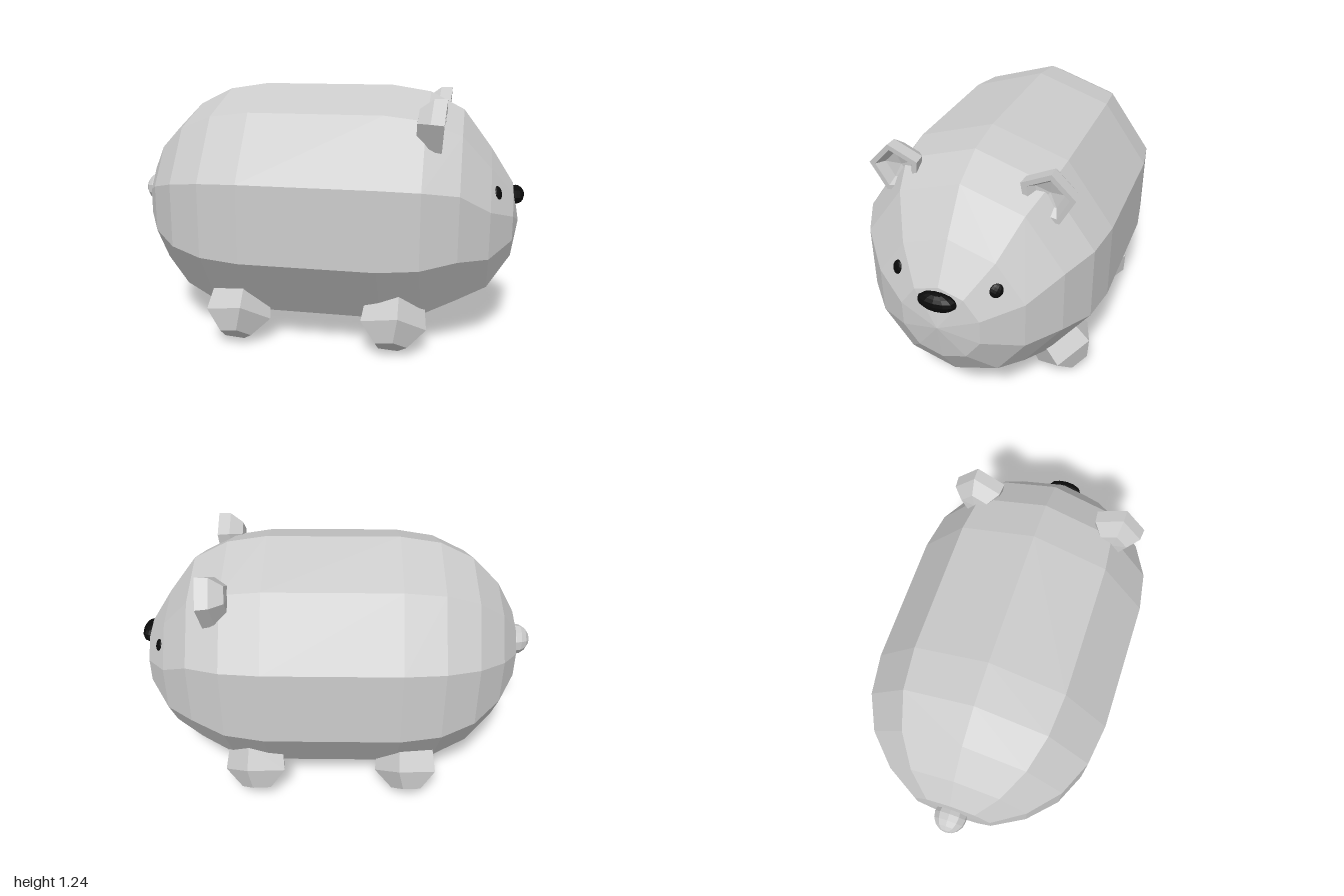
import * as THREE from 'three';

const grey = new THREE.MeshStandardMaterial({ color: 0xcccccc, flatShading: true });
const black = new THREE.MeshStandardMaterial({ color: 0x0a0a0a, flatShading: true });

// Faceted solid of revolution around y from [radius, height] pairs
function turned(profile, sides, phase = 0) {
  const points = profile.map(([r, h]) => new THREE.Vector2(r, h));
  return new THREE.LatheGeometry(points, sides, phase, Math.PI * 2);
}

export function createModel() {
  const model = new THREE.Group();
  const add = (name, geometry, material, x, y, z) => {
    const mesh = new THREE.Mesh(geometry, material);
    mesh.name = name;
    mesh.position.set(x, y, z);
    model.add(mesh);
    return mesh;
  };

  // Barrel body lying along x, with the snout rings lowered slightly
  const body = turned([
    [0, -0.905], [0.2, -0.895], [0.36, -0.805], [0.495, -0.67], [0.575, -0.505], [0.605, -0.31],
    [0.605, 0.335], [0.575, 0.525], [0.49, 0.69], [0.36, 0.83], [0.19, 0.94], [0, 0.975],
  ], 10, Math.PI / 2).rotateZ(-Math.PI / 2);
  const position = body.attributes.position;
  for (let i = 0; i < position.count; i++) {
    if (position.getX(i) > 0.75) position.setY(i, position.getY(i) - 0.055);
  }
  add('body', body, grey, 0, 0.64, 0);

  // Tail and nose
  add('tail', new THREE.SphereGeometry(0.08, 10, 8).rotateZ(Math.PI / 2), grey, -0.92, 0.675, 0);
  add('nose', new THREE.SphereGeometry(1, 12, 8).scale(0.042, 0.044, 0.09), black, 0.956, 0.715, 0);

  for (const side of [1, -1]) {
    const label = side > 0 ? 'left' : 'right';

    // Eye: flattened ball lying on the face
    const eye = add(label + 'Eye', new THREE.SphereGeometry(1, 12, 8).scale(0.03, 0.033, 0.013),
      black, 0.862, 0.767, side * 0.228);
    eye.quaternion.setFromUnitVectors(new THREE.Vector3(0, 0, 1),
      new THREE.Vector3(0.84, 0.33, side * 0.43).normalize());

    // Ear: five-sided cup opening forwards
    const angle = THREE.MathUtils.degToRad(side > 0 ? -8 : -172);
    const ear = turned([
      [0, -0.065], [0.07, -0.06], [0.122, 0], [0.128, 0.06], [0.1, 0.06], [0.07, 0.02], [0, 0.005],
    ], 5, angle).rotateZ(-Math.PI / 2);
    add(label + 'Ear', ear, grey, 0.55, 1.09, side * 0.35).rotation.z = -0.08;

    // Feet: five-sided stubs pointing down and outwards
    for (const [end, x, turn] of [['Back', -0.37, 0], ['Front', 0.395, 0.08]]) {
      const foot = turned([
        [0, -0.1], [0.15, -0.08], [0.165, 0.04], [0.08, 0.13], [0, 0.13],
      ], 5, turn * side);
      const down = new THREE.Vector3(0, -0.79, side * 0.61).normalize();
      const along = new THREE.Vector3(1, 0, 0);
      foot.applyMatrix4(new THREE.Matrix4().makeBasis(down.clone().cross(along), down, along));
      add(label + end + 'Foot', foot, grey, x, 0.152, side * 0.375);
    }
  }
  return model;
}
